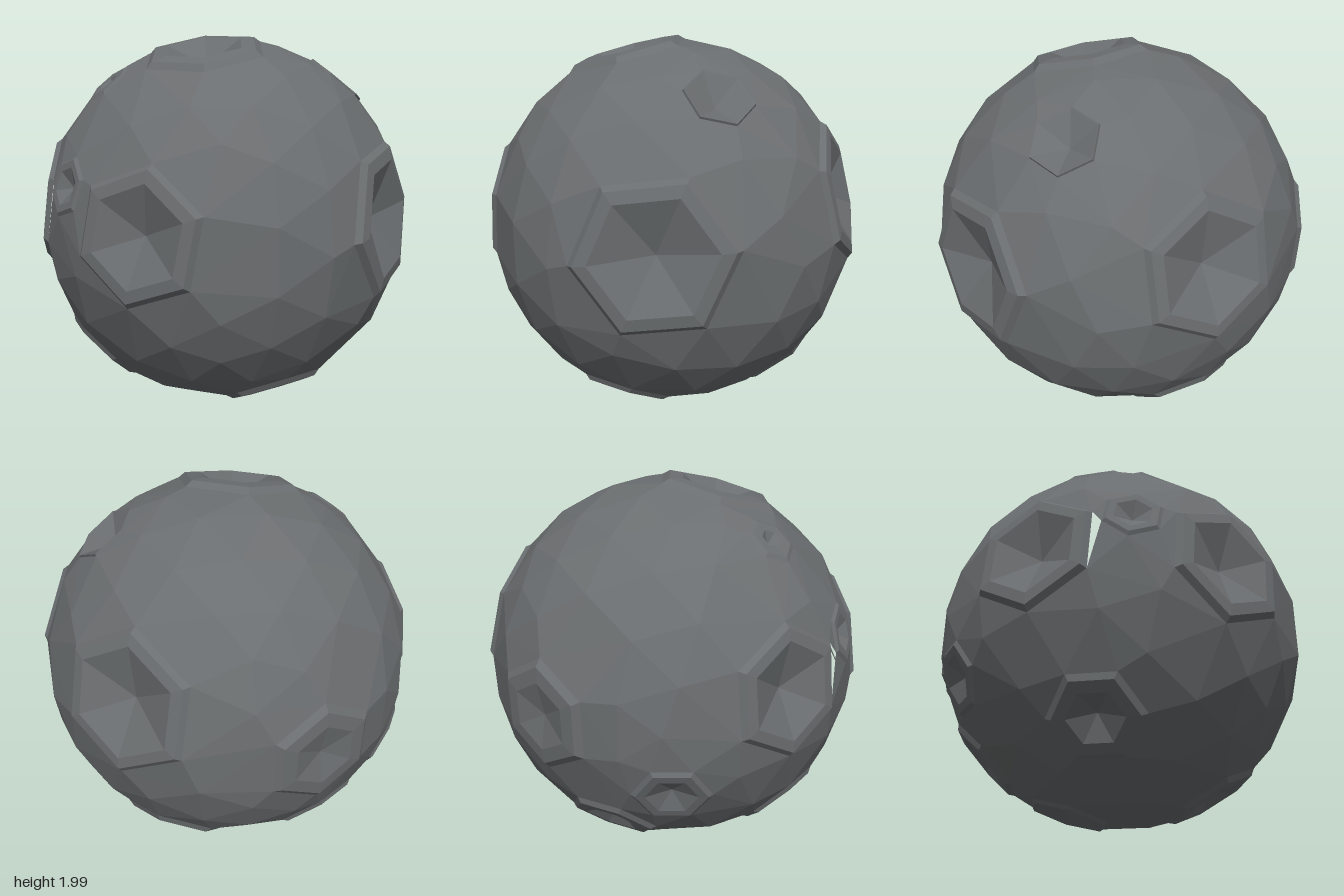
import * as THREE from 'three';
import { mergeVertices } from 'three/addons/utils/BufferGeometryUtils.js';
import { ConvexGeometry } from 'three/addons/geometries/ConvexGeometry.js';

const RADIUS = 0.985;

// direction x, y, z | outer radius | inner radius | bowl depth | rotation in degrees
const CRATERS = [
  [-0.40, 0.10, 0.91, 0.35, 0.255, 0.12, 9],
  [0.88, 0.10, 0.45, 0.41, 0.31, 0.15, 23],
  [0.61, 0.25, -0.75, 0.38, 0.29, 0.14, 0],
  [-0.10, 0.97, 0.23, 0.34, 0.22, 0.12, 0],
  [0.62, 0.78, 0.01, 0.18, 0.165, 0.09, -10],
  [-0.77, 0.28, 0.57, 0.16, 0.10, 0.05, 10],
  [-0.60, 0.77, 0.22, 0.14, 0.06, 0.04, 0],
  [-0.98, 0.13, 0.12, 0.34, 0.25, 0.12, 0],
  [-0.35, -0.02, -0.93, 0.30, 0.18, 0.045, 0],
  [-0.81, -0.36, -0.45, 0.20, 0.13, 0.05, 30],
  [-0.43, -0.68, -0.60, 0.25, 0.16, 0.07, 30],
  [-0.67, -0.67, 0.30, 0.24, 0.14, 0.07, 30],
  [0.28, -0.87, 0.41, 0.27, 0.17, 0.08, 20],
  [0.35, -0.77, -0.53, 0.30, 0.17, 0.045, 0],
  [-0.14, -0.96, -0.24, 0.23, 0.17, 0.05, 10],
].map(([x, y, z, outer, inner, depth, turn]) => ({
  axis: new THREE.Vector3(x, y, z).normalize(), outer, inner, depth, turn: THREE.MathUtils.degToRad(turn),
}));

// Six points around a crater axis, counter-clockwise from outside
function hexRing(crater, size, height) {
  const { axis, turn } = crater;
  const up = Math.abs(axis.y) > 0.8 ? new THREE.Vector3(0, 0, -1) : new THREE.Vector3(0, 1, 0);
  up.addScaledVector(axis, -up.dot(axis)).normalize();
  const right = up.clone().cross(axis);
  return Array.from({ length: 6 }, (_, k) => {
    const a = turn - k * Math.PI / 3;
    return axis.clone().multiplyScalar(Math.sqrt(1 - size * size))
      .addScaledVector(right, size * Math.sin(a))
      .addScaledVector(up, size * Math.cos(a))
      .multiplyScalar(RADIUS + height);
  });
}

function flatGeometry(points) {
  const geometry = new THREE.BufferGeometry().setFromPoints(points);
  geometry.computeVertexNormals();
  return geometry;
}

// Faceted ball with hexagonal openings left for the craters
function bodyGeometry() {
  const ico = new THREE.IcosahedronGeometry(RADIUS, 3);
  ico.deleteAttribute('normal');
  ico.deleteAttribute('uv');
  const base = mergeVertices(ico, 1e-3).attributes.position;
  const points = [];
  for (let i = 0; i < base.count; i++) {
    const p = new THREE.Vector3().fromBufferAttribute(base, i);
    const blocked = CRATERS.some(c => p.distanceTo(c.axis.clone().multiplyScalar(RADIUS)) < c.outer + 0.1);
    if (!blocked) points.push(p);
  }
  CRATERS.forEach(c => points.push(...hexRing(c, c.outer, 0)));

  const hull = new ConvexGeometry(points).attributes.position;
  const kept = [];
  for (let i = 0; i < hull.count; i += 3) {
    const tri = [0, 1, 2].map(k => new THREE.Vector3().fromBufferAttribute(hull, i + k));
    const inCrater = CRATERS.some(c => {
      const centre = c.axis.clone().multiplyScalar(RADIUS);
      return tri.every(p => p.distanceTo(centre) < c.outer + 0.03);
    });
    if (!inCrater) kept.push(...tri);
  }
  return flatGeometry(kept);
}

// Raised lip, sloping shelf and a six-sided bowl
function craterGeometry(c) {
  const lip = Math.min(0.018, c.outer * 0.06);
  const rings = [
    hexRing(c, c.outer, 0),
    hexRing(c, THREE.MathUtils.lerp(c.outer, c.inner, 0.35), lip),
    hexRing(c, c.inner, lip * 0.4),
  ];
  const points = [];
  for (let r = 0; r < 2; r++) {
    for (let k = 0; k < 6; k++) {
      const n = (k + 1) % 6;
      const [a, b, d, e] = [rings[r][k], rings[r][n], rings[r + 1][n], rings[r + 1][k]];
      points.push(a, b, d, a, d, e);
    }
  }
  const floor = c.axis.clone().multiplyScalar(RADIUS - c.depth);
  for (let k = 0; k < 6; k++) points.push(rings[2][k], rings[2][(k + 1) % 6], floor);
  return flatGeometry(points);
}

export function createModel() {
  const model = new THREE.Group();
  model.name = 'crateredMoon';
  const rock = new THREE.MeshStandardMaterial({ color: 0x6b6e70 });
  rock.name = 'greyRock';
  rock.flatShading = true;

  const add = (name, geometry) => {
    const mesh = new THREE.Mesh(geometry, rock);
    mesh.name = name;
    model.add(mesh);
  };
  add('moonBody', bodyGeometry());
  CRATERS.forEach((c, i) => add('crater' + (i + 1), craterGeometry(c)));

  // Rest on the ground, centred
  const box = new THREE.Box3().setFromObject(model);
  const centre = box.getCenter(new THREE.Vector3());
  model.children.forEach(m => m.position.set(-centre.x, -box.min.y, -centre.z));
  return model;
}
